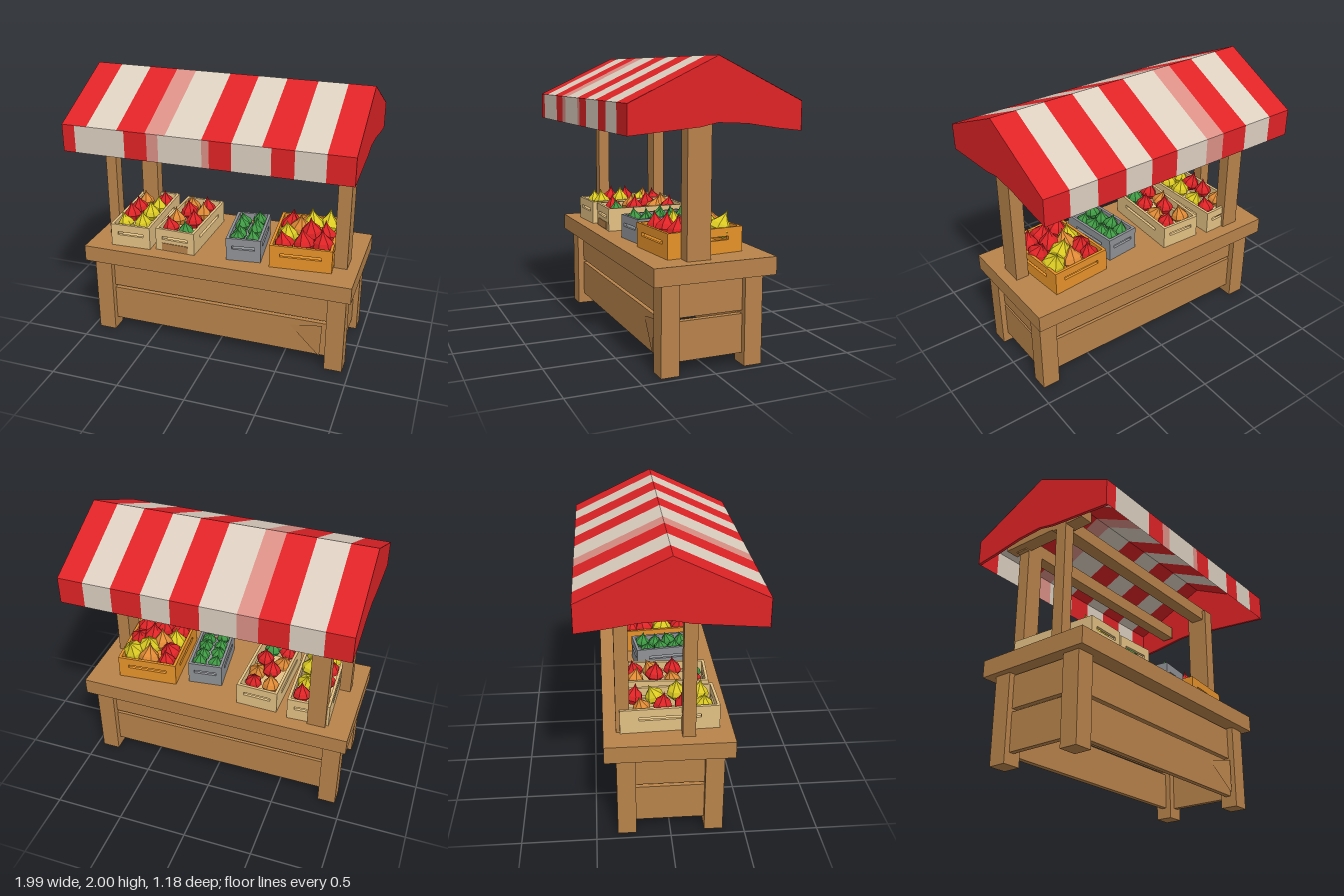
import * as THREE from 'three';

const mat = (name, color, side = THREE.FrontSide) => {
  const m = new THREE.MeshStandardMaterial({ color, side, flatShading: true });
  m.name = name;
  return m;
};

export function createModel() {
  const D = THREE.DoubleSide;
  const M = {
    wood: mat('wood', 0xb8834b, D),
    red: mat('red', 0xdf2326, D),
    cream: mat('cream', 0xdccfc0, D),
    pink: mat('pink', 0xdb9086, D),
    amber: mat('amber wood', 0xe8932a),
    tan: mat('pale wood', 0xe3c184),
    grey: mat('grey wood', 0x8f9296),
    green: mat('green', 0x3f9a44),
    yellow: mat('yellow', 0xdccb22),
    orange: mat('orange', 0xe08a35),
  };
  const model = new THREE.Group();
  model.name = 'marketStall';

  const add = (parent, name, geo, material) => {
    const mesh = new THREE.Mesh(geo, material);
    mesh.name = name;
    parent.add(mesh);
    return mesh;
  };
  // box given by its minimum and maximum on each axis
  const box = (parent, name, material, x0, x1, y0, y1, z0, z1) => {
    const mesh = add(parent, name, new THREE.BoxGeometry(x1 - x0, y1 - y0, z1 - z0), material);
    mesh.position.set((x0 + x1) / 2, (y0 + y1) / 2, (z0 + z1) / 2);
    return mesh;
  };
  const group = (name) => {
    const g = new THREE.Group();
    g.name = name;
    model.add(g);
    return g;
  };

  // ---- counter: top, legs and two rows of planks all round
  const counter = group('counter');
  box(counter, 'counterTop', M.wood, -0.995, 0.99, 0.605, 0.725, -0.435, 0.42);
  for (const sx of [-1, 1]) {
    for (const sz of [-1, 1]) {
      const leg = box(counter, 'leg', M.wood, -0.065, 0.065, 0, 0.61, -0.063, 0.063);
      leg.position.x = sx * 0.885;
      leg.position.z = sz * 0.293;
    }
  }
  for (const [y0, y1] of [[0.08, 0.345], [0.368, 0.597]]) {
    for (const s of [-1, 1]) {
      box(counter, 'longPlank', M.wood, -0.84, 0.84, y0, y1, s * 0.29 - 0.02, s * 0.29 + 0.02);
      box(counter, 'sidePlank', M.wood, s * 0.89 - 0.02, s * 0.89 + 0.02, y0, y1, -0.25, 0.25);
    }
  }
  const chip = new THREE.BufferGeometry();
  chip.setAttribute('position', new THREE.Float32BufferAttribute(
    [0.55, 0.29, 0.311, 0.78, 0.09, 0.345, 0.79, 0.345, 0.34], 3));
  chip.computeVertexNormals();
  add(counter, 'splitPlankEnd', chip, M.wood);

  // ---- three uneven posts and the roof beams
  const frame = group('frame');
  box(frame, 'rightPost', M.wood, 0.815, 0.91, 0.72, 1.68, 0, 0.165);
  box(frame, 'slimPost', M.wood, -0.905, -0.825, 0.72, 1.68, 0.08, 0.165);
  box(frame, 'backPost', M.wood, -0.82, -0.69, 0.72, 1.68, -0.35, -0.26);
  box(frame, 'frontBeam', M.wood, -0.9, 0.95, 1.6, 1.7, 0.04, 0.14);
  box(frame, 'backBeam', M.wood, -0.85, 0.95, 1.6, 1.7, -0.35, -0.26);
  box(frame, 'crossBeam', M.wood, -0.9, -0.8, 1.61, 1.69, -0.4, 0.3);

  // ---- striped canopy: colour and right-hand edge of each stripe
  const canopy = group('canopy');
  const roofStripes = [['red', -0.81], ['cream', -0.59], ['red', -0.39], ['pink', -0.25], ['cream', 0],
    ['red', 0.2], ['cream', 0.4], ['red', 0.61], ['cream', 0.81], ['red', 0.99]];
  const valanceStripes = [['red', -0.9], ['cream', -0.54], ['red', -0.38], ['pink', -0.3], ['cream', 0],
    ['pink', 0.05], ['red', 0.2], ['cream', 0.46], ['red', 0.61], ['cream', 0.81], ['red', 0.99]];
  const cloth = (name, stripes, [z0, y0], [z1, y1]) => {
    let a = -0.99;
    for (const [colour, b] of stripes) {
      const geo = new THREE.BufferGeometry();
      geo.setAttribute('position', new THREE.Float32BufferAttribute(
        [a, y0, z0, b, y0, z0, b, y1, z1, a, y1, z1], 3));
      geo.setIndex([0, 1, 2, 0, 2, 3]);
      geo.computeVertexNormals();
      add(canopy, name, geo, M[colour]);
      a = b;
    }
  };
  cloth('frontValance', valanceStripes, [0.59, 1.53], [0.59, 1.72]);
  cloth('frontSlope', roofStripes, [0.59, 1.72], [0, 2]);
  cloth('backSlope', roofStripes, [0, 2], [-0.59, 1.72]);
  cloth('backValance', roofStripes, [-0.59, 1.72], [-0.59, 1.53]);

  // gable ends with a gently arched lower edge
  const gable = new THREE.Shape([[-0.588, 1.53], [-0.12, 1.57], [0, 1.595], [0.2, 1.585], [0.42, 1.55],
    [0.588, 1.53], [0.588, 1.718], [0, 1.998], [-0.588, 1.718]].map(([x, y]) => new THREE.Vector2(x, y)));
  for (const x of [-0.99, 0.97]) {
    const end = add(canopy, 'gableEnd', new THREE.ExtrudeGeometry(gable, { depth: 0.02, bevelEnabled: false }), M.red);
    end.rotation.y = Math.PI / 2;
    end.position.x = x;
  }

  // ---- produce: pointed, faceted fruit
  const profile = [[0, -0.7], [0.6, -0.6], [1, -0.05], [0.85, 0.4], [0.4, 0.85], [0.14, 1.2], [0, 1.6]]
    .map(([r, y]) => new THREE.Vector2(r, y));
  const fruitGeo = new THREE.LatheGeometry(profile, 7);

  // ---- crates: slotted walls, floor and fruit [colour, x, z, radius, height]
  const H = 0.17, T = 0.02;
  const crate = (name, material, x, z, w, d, turn, fruit) => {
    const g = group(name);
    g.position.set(x, 0.725, z);
    g.rotation.y = turn;
    box(g, 'crateFloor', material, -w / 2, w / 2, 0.002, 0.02, -d / 2, d / 2);
    const wall = (len, offset, angle) => {
      const side = new THREE.Group();
      side.name = 'crateWall';
      side.rotation.y = angle;
      g.add(side);
      const h = len / 2, s = len * 0.33, z0 = offset - T;
      box(side, 'lowerBoard', material, -h, h, 0, 0.088, z0, offset);
      box(side, 'upperBoard', material, -h, h, 0.112, H, z0, offset);
      box(side, 'slotEnd', material, -h, -s, 0.088, 0.112, z0, offset);
      box(side, 'slotEnd', material, s, h, 0.088, 0.112, z0, offset);
    };
    wall(w, d / 2, 0);
    wall(w, d / 2, Math.PI);
    wall(d - 2 * T, w / 2, Math.PI / 2);
    wall(d - 2 * T, w / 2, -Math.PI / 2);
    fruit.forEach(([colour, fx, fz, r, y], i) => {
      const f = add(g, colour + 'Fruit', fruitGeo, M[colour]);
      f.scale.setScalar(r);
      f.position.set(fx, y, fz);
      f.rotation.set(0.25 * Math.sin(i * 2.3), i * 1.7, 0.25 * Math.cos(i * 1.9));
    });
    return g;
  };

  crate('leftCrate', M.tan, -0.675, 0, 0.3, 0.66, 0.04, [
    ['yellow', -0.07, 0.23, 0.062, 0.14], ['yellow', 0.06, 0.22, 0.068, 0.15],
    ['red', -0.07, 0.1, 0.068, 0.15], ['yellow', 0.07, 0.07, 0.07, 0.16],
    ['red', -0.07, -0.04, 0.066, 0.15], ['yellow', 0.07, -0.08, 0.066, 0.14],
    ['red', 0.07, -0.22, 0.066, 0.14], ['orange', -0.07, -0.18, 0.06, 0.14],
  ]);
  const second = crate('secondCrate', M.tan, -0.315, 0, 0.3, 0.61, -0.03, [
    ['red', -0.07, 0.2, 0.064, 0.14], ['green', 0.05, 0.21, 0.062, 0.13],
    ['orange', -0.08, 0.06, 0.064, 0.14], ['red', 0.06, 0.07, 0.066, 0.15],
    ['red', -0.03, -0.06, 0.068, 0.16], ['orange', 0.07, -0.08, 0.066, 0.14],
    ['orange', -0.07, -0.2, 0.066, 0.14], ['red', 0.06, -0.2, 0.062, 0.14],
  ]);
  box(second, 'crateLabel', M.wood, -0.1, 0.1, 0.005, 0.06, 0.304, 0.31);
  crate('greyCrate', M.grey, 0.158, 0.05, 0.25, 0.46, 0.12, [-0.15, -0.05, 0.05, 0.15].flatMap((z, i) => [
    ['green', -0.055, z + 0.01, 0.055, 0.13 + 0.015 * (i % 2)],
    ['green', 0.055, z - 0.01, 0.055, 0.145 - 0.015 * (i % 2)],
  ]));
  crate('rightCrate', M.amber, 0.575, 0, 0.44, 0.56, 0.09, [
    ['red', -0.13, 0.18, 0.075, 0.14], ['yellow', -0.13, 0.04, 0.08, 0.14],
    ['red', 0.01, 0.18, 0.08, 0.15], ['red', 0.14, 0.16, 0.08, 0.15],
    ['red', 0.04, 0.03, 0.085, 0.17], ['red', 0.15, 0.02, 0.075, 0.15],
    ['orange', -0.05, -0.03, 0.08, 0.17], ['yellow', 0.04, -0.1, 0.085, 0.17],
    ['red', -0.13, -0.1, 0.08, 0.15], ['orange', 0.01, -0.19, 0.08, 0.14],
    ['yellow', 0.14, -0.15, 0.085, 0.15], ['red', -0.13, -0.2, 0.065, 0.14],
  ]);

  return model;
}
